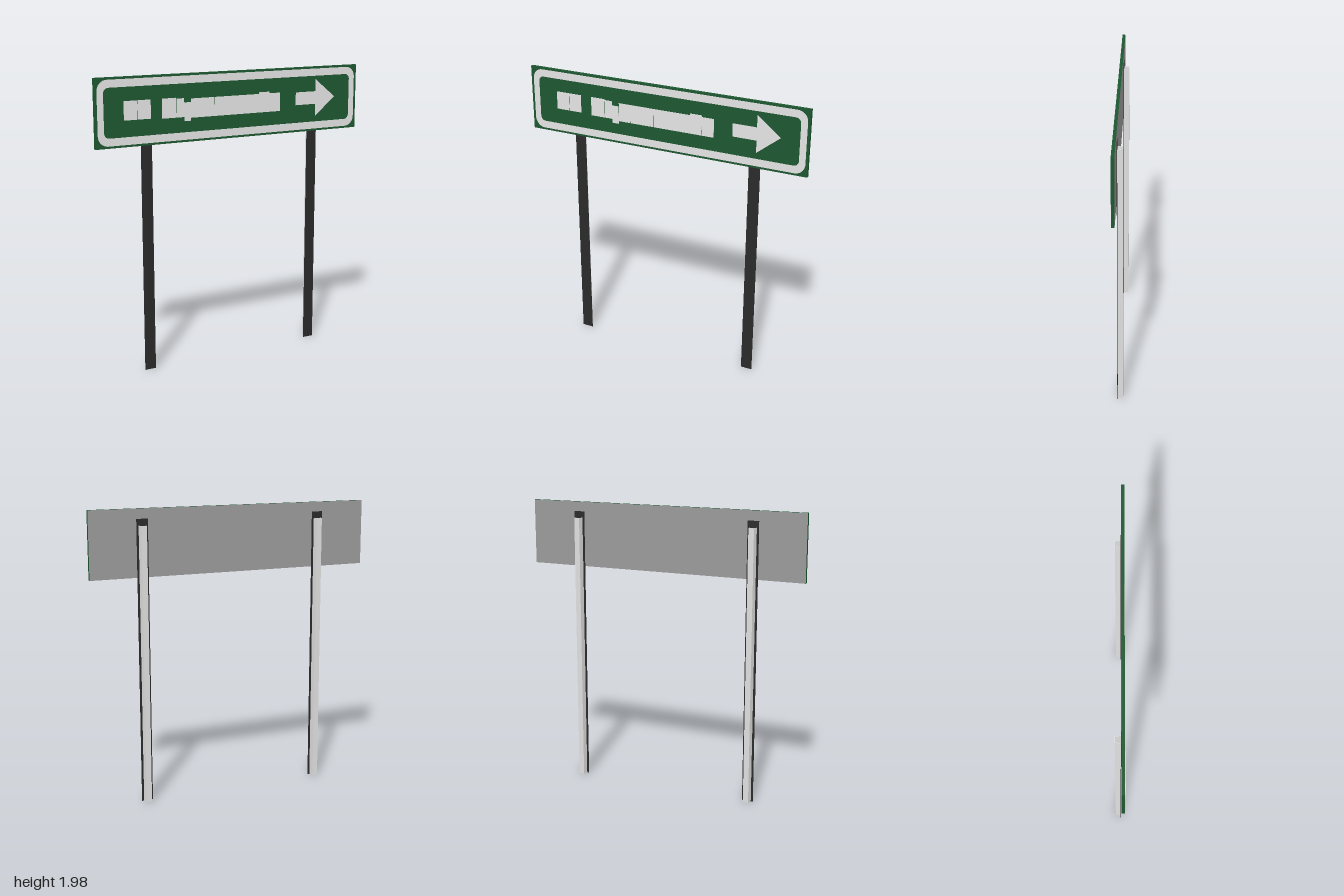
import * as THREE from 'three';

const material = (name, color) => {
  const m = new THREE.MeshStandardMaterial({ color });
  m.name = name;
  return m;
};

const FRONT = 0.025, BACK = 0.004, CENTRE_Y = 1.753;

// Outline of a rounded rectangle centred on the origin
function roundedRect(PathType, w, h, r) {
  const p = new PathType();
  const x = w / 2 - r, y = h / 2 - r;
  p.absarc(x, y, r, 0, Math.PI / 2);
  p.absarc(-x, y, r, Math.PI / 2, Math.PI);
  p.absarc(-x, -y, r, Math.PI, Math.PI * 1.5);
  p.absarc(x, -y, r, Math.PI * 1.5, Math.PI * 2);
  p.closePath();
  return p;
}

const polygon = (points) => new THREE.Shape(points.map(([x, y]) => new THREE.Vector2(x, y)));

export function createModel() {
  const model = new THREE.Group();
  model.name = 'roadSign';
  const green = material('signGreen', 0x1d5831);
  const white = material('signWhite', 0xe6e6e6);
  const backGrey = material('backGrey', 0x9b9b9b);
  const steel = material('postSteel', 0xe0e0e0);
  const dark = material('postDark', 0x2a2a2a);

  const add = (name, geometry, mat, parent = model) => {
    const mesh = new THREE.Mesh(geometry, mat);
    mesh.name = name;
    parent.add(mesh);
    return mesh;
  };

  // Board: green front and edges, bare grey back
  add('board', new THREE.BoxGeometry(2, 0.446, FRONT - BACK),
    [green, green, green, green, green, backGrey])
    .position.set(0, CENTRE_Y, (FRONT + BACK) / 2);

  // Painted details are thin plates on the front of the board
  const plate = (name, shape, y) => {
    const g = new THREE.ExtrudeGeometry(shape, { depth: 0.001, bevelEnabled: false, curveSegments: 8 });
    add(name, g, white).position.set(0, y, FRONT);
  };

  // Border with rounded corners
  const border = roundedRect(THREE.Shape, 1.966, 0.418, 0.07);
  border.holes.push(roundedRect(THREE.Path, 1.88, 0.318, 0.035));
  plate('border', border, CENTRE_Y);

  // Arrow pointing to +x
  plate('arrow', polygon([
    [0.491, -0.044], [0.655, -0.044], [0.655, -0.127], [0.815, 0],
    [0.655, 0.127], [0.655, 0.044], [0.491, 0.044],
  ]), 1.761);

  // Plain message blocks: left, right, bottom, top
  const blocks = new THREE.Group();
  blocks.name = 'messageBlocks';
  model.add(blocks);
  [
    [-0.803, -0.709, 1.70, 1.823], [-0.706, -0.615, 1.70, 1.823],
    [-0.536, -0.434, 1.694, 1.823], [-0.431, -0.375, 1.694, 1.817],
    [-0.375, -0.327, 1.667, 1.789], [-0.325, -0.238, 1.686, 1.812],
    [-0.237, -0.149, 1.686, 1.812], [-0.148, -0.067, 1.686, 1.812],
    [-0.066, 0.194, 1.686, 1.812], [0.195, 0.278, 1.686, 1.823],
    [0.279, 0.362, 1.686, 1.812],
  ].forEach(([l, r, b, t]) => {
    add('messageBlock', new THREE.BoxGeometry(r - l, t - b, 0.001), white, blocks)
      .position.set((l + r) / 2, (b + t) / 2, FRONT + 0.0005);
  });

  // Posts: a hollow folded steel channel behind a dark flat strip that rises higher
  const STRIP = 0.003, STRIP_TOP = 1.91, CHANNEL_TOP = 1.867;
  const channel = new THREE.ExtrudeGeometry(polygon([
    [-0.025, -0.001], [-0.019, 0.035], [0.019, 0.035], [0.025, -0.001],
    [0.023, -0.001], [0.017, 0.033], [-0.017, 0.033], [-0.023, -0.001],
  ]), { depth: CHANNEL_TOP, bevelEnabled: false });
  channel.rotateX(-Math.PI / 2);
  const strip = new THREE.BoxGeometry(0.078, STRIP_TOP, STRIP);
  for (const side of [-1, 1]) {
    const post = new THREE.Group();
    post.name = side > 0 ? 'leftPost' : 'rightPost';
    post.position.x = side * 0.64;
    add('postChannel', channel, steel, post);
    add('postStrip', strip, dark, post).position.set(0, STRIP_TOP / 2, BACK - STRIP / 2);
    model.add(post);
  }
  return model;
}
